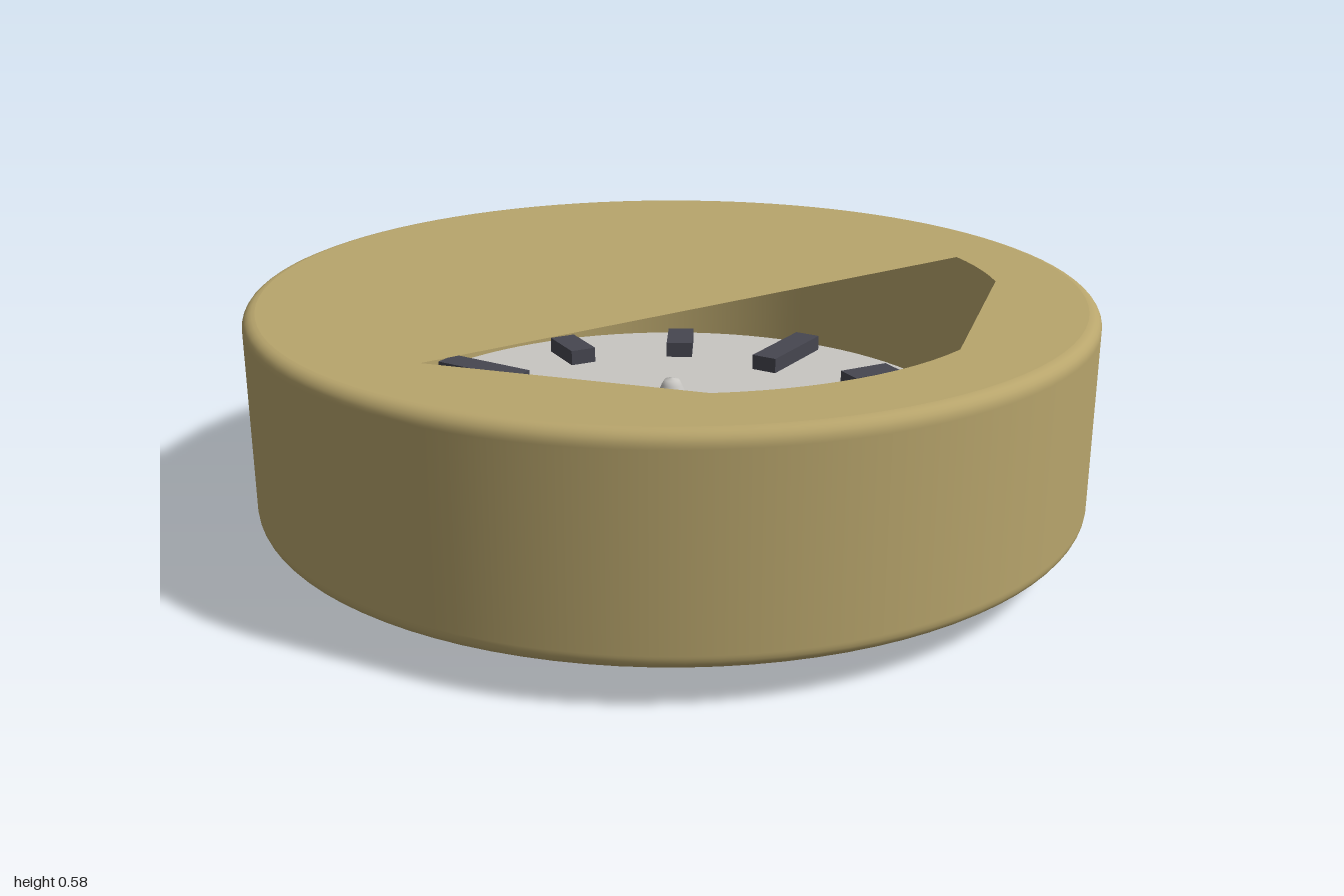
import * as THREE from 'three';

const brass = new THREE.MeshStandardMaterial({ name: 'brass', color: 0xb8a56c, side: THREE.DoubleSide });
const ivory = new THREE.MeshStandardMaterial({ name: 'paleDial', color: 0xc8c6c2 });
const dark = new THREE.MeshStandardMaterial({ name: 'darkMarker', color: 0x464650 });

const BOTTOM = 0.09, TOP = 0.58, FILLET = 0.03, BORE = 0.785, DIAL_TOP = 0.24;
const rad = THREE.MathUtils.degToRad;

function add(group, name, geometry, material, y = 0) {
  const mesh = new THREE.Mesh(geometry, material);
  mesh.name = name;
  mesh.position.y = y;
  group.add(mesh);
  return mesh;
}

// Flat round face with an opening whose corners lie on the bore;
// each arc is a [start, end] pair of angles, joined by straight edges
function capGeometry(arcs) {
  const shape = new THREE.Shape().absarc(0, 0, 1 - FILLET, 0, Math.PI * 2);
  const points = [];
  for (const [a, b] of arcs) {
    const steps = Math.max(1, Math.ceil(Math.abs(b - a) / 4));
    for (let i = 0; i <= steps; i++) {
      const t = rad(a + (b - a) * i / steps);
      points.push(new THREE.Vector2(BORE * Math.cos(t), BORE * Math.sin(t)));
    }
  }
  shape.holes.push(new THREE.Path(points));
  return new THREE.ShapeGeometry(shape, 48);
}

// Outer wall profile with small rounded rims
function wallProfile() {
  const pts = [], c = 1 - FILLET;
  for (let i = 0; i <= 6; i++) {
    const t = (i / 6 - 1) * Math.PI / 2;
    pts.push(new THREE.Vector2(c + FILLET * Math.cos(t), BOTTOM + FILLET + FILLET * Math.sin(t)));
  }
  pts.push(new THREE.Vector2(1, BOTTOM + FILLET + 0.005), new THREE.Vector2(1, TOP - FILLET - 0.005));
  for (let i = 0; i <= 6; i++) {
    const t = i / 6 * Math.PI / 2;
    pts.push(new THREE.Vector2(c + FILLET * Math.cos(t), TOP - FILLET + FILLET * Math.sin(t)));
  }
  return pts;
}

export function createModel() {
  const model = new THREE.Group();
  model.name = 'compassCase';

  // Case: outer wall, bore and the two pierced faces
  add(model, 'outerWall', new THREE.LatheGeometry(wallProfile(), 96), brass);
  add(model, 'innerWall', new THREE.LatheGeometry(
    [new THREE.Vector2(BORE, TOP), new THREE.Vector2(BORE, BOTTOM)], 96), brass);
  const top = capGeometry([[54, 36], [-7.3, -52.3], [-98.7, -98.7]]);
  add(model, 'topFace', top.rotateX(-Math.PI / 2), brass, TOP);
  const bottom = capGeometry([[-9, -9], [-89, -113.5], [-188, -191]]);
  add(model, 'bottomFace', bottom.rotateX(Math.PI / 2), brass, BOTTOM);

  // Foot below the case
  add(model, 'foot', new THREE.CylinderGeometry(0.325, 0.325, 0.1, 64), brass, 0.05);

  // Dial with the central pivot
  const dialBase = 0.097;
  add(model, 'dial', new THREE.CylinderGeometry(0.75, 0.75, DIAL_TOP - dialBase, 96), ivory, (DIAL_TOP + dialBase) / 2);
  const pivot = [[0.065, 0], [0.025, 0.095], [0.018, 0.107], [0, 0.112]].map(p => new THREE.Vector2(...p));
  add(model, 'pivot', new THREE.LatheGeometry(pivot, 32), ivory, DIAL_TOP);

  // Twelve raised markers, long ones on the quarters
  const markers = new THREE.Group();
  markers.name = 'markers';
  for (let i = 0; i < 12; i++) {
    const length = i % 3 ? 0.14 : 0.25;
    const bar = new THREE.BoxGeometry(length, 0.04, 0.07).translate(0.587, 0.02, 0);
    add(markers, 'marker', bar, dark, DIAL_TOP).rotation.y = i * Math.PI / 6;
  }
  model.add(markers);
  return model;
}
